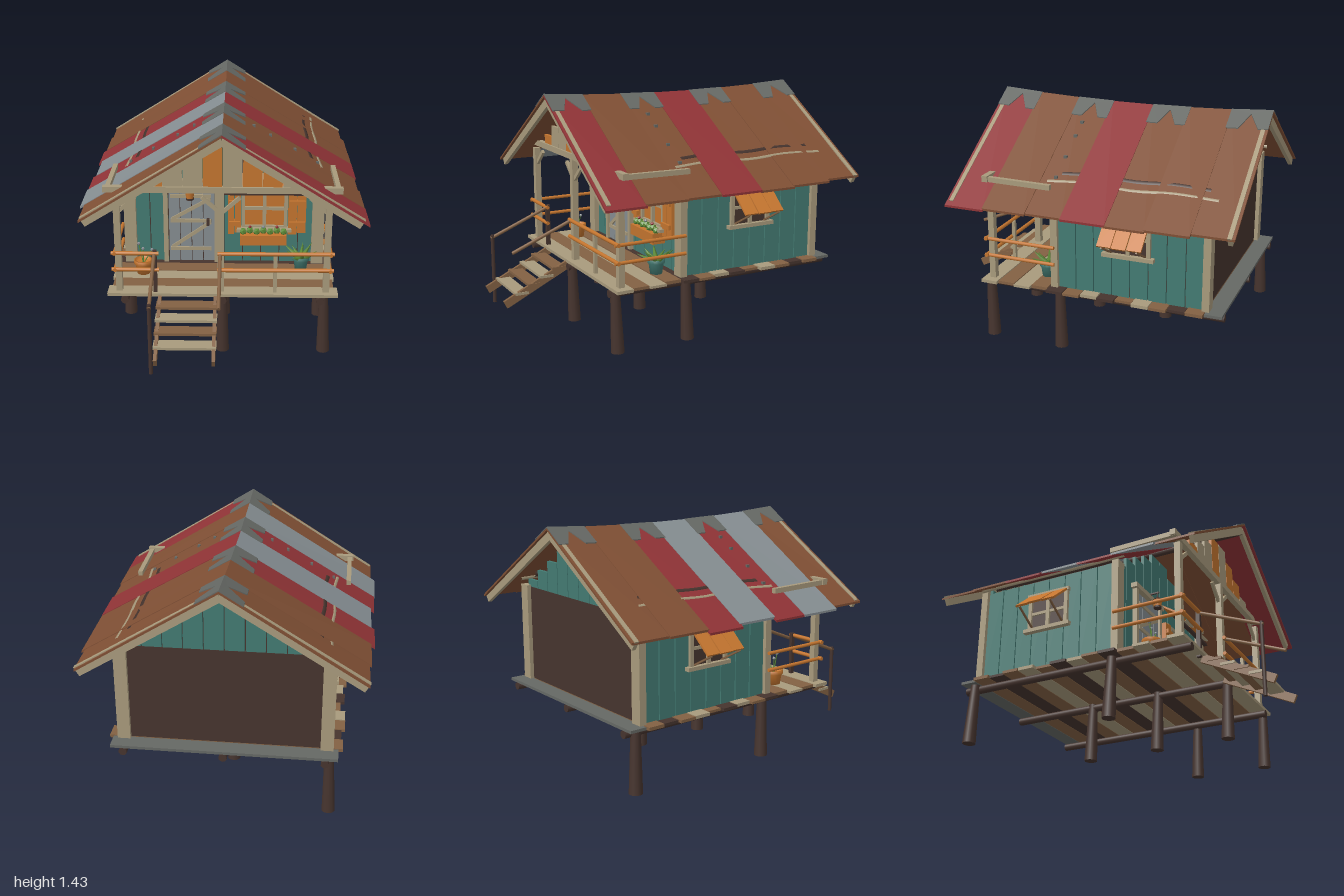
import * as THREE from 'three';

const mat = (name, color) => {
  const m = new THREE.MeshStandardMaterial({ color });
  m.name = name;
  return m;
};

export function createModel() {
  const teal = mat('teal paint', 0x437a72), orange = mat('orange wood', 0xc4752f), beige = mat('pale wood', 0xa89a7c),
    dark = mat('dark timber', 0x46342e), brown = mat('plank brown', 0x836143), rust = mat('rusty sheet', 0x7f4f34),
    red = mat('red sheet', 0x8f3336), grey = mat('grey sheet', 0x858d91), cap = mat('dull metal', 0x656864),
    green = mat('leaf green', 0x5c8a38);
  const root = new THREE.Group();
  root.name = 'stiltCabin';
  const V = (p) => new THREE.Vector3(...p);

  const add = (name, geo, m, pos = [0, 0, 0]) => {
    const mesh = new THREE.Mesh(geo, m);
    mesh.name = name;
    mesh.position.set(...pos);
    root.add(mesh);
    return mesh;
  };
  // Box given by its extents
  const box = (name, m, x0, x1, y0, y1, z0, z1) =>
    add(name, new THREE.BoxGeometry(Math.abs(x1 - x0), y1 - y0, Math.abs(z1 - z0)), m, [(x0 + x1) / 2, (y0 + y1) / 2, (z0 + z1) / 2]);
  // Squared timber between two points: w sideways, h upright
  const bar = (name, m, a, b, w, h = w) => {
    const mid = V(a).add(V(b)).multiplyScalar(0.5);
    const mesh = add(name, new THREE.BoxGeometry(w, h, V(a).distanceTo(V(b))), m, mid.toArray());
    mesh.lookAt(V(b));
    return mesh;
  };
  // Round timber between two points
  const pole = (name, m, a, b, ra, rb = ra) => {
    const d = V(b).sub(V(a)), mid = V(a).add(V(b)).multiplyScalar(0.5);
    const mesh = add(name, new THREE.CylinderGeometry(rb, ra, d.length(), 10), m, mid.toArray());
    mesh.quaternion.setFromUnitVectors(new THREE.Vector3(0, 1, 0), d.normalize());
    return mesh;
  };

  // Sagging roof surface
  const roofY = (x, z) => {
    const ridge = 1.375 + 0.03 * ((z + 0.14) / 0.86) ** 2;
    return ridge + (0.885 - ridge) * Math.abs(x) / 0.83;
  };
  const sheet = (name, m, pts, lift, thick) => {
    const shape = new THREE.Shape(pts.map(([x, z]) => new THREE.Vector2(x, -z)));
    const g = new THREE.ExtrudeGeometry(shape, { depth: thick, bevelEnabled: false });
    g.rotateX(-Math.PI / 2);
    const p = g.attributes.position;
    for (let i = 0; i < p.count; i++) p.setY(i, p.getY(i) + lift + roofY(p.getX(i), p.getZ(i)));
    g.computeVertexNormals();
    return add(name, g, m);
  };
  const zs = [-0.995, -0.755, -0.5, -0.27, -0.01, 0.215, 0.475, 0.715];
  const sheets = {
    '-1': [[rust, 0.8], [rust, 0.81], [red, 0.83], [grey, 0.81], [red, 0.83], [grey, 0.835], [rust, 0.81]],
    '1': [[rust, 0.8], [rust, 0.82], [rust, 0.825], [red, 0.825], [rust, 0.815], [rust, 0.825], [red, 0.83]],
  };
  for (const s of [-1, 1]) {
    sheets[s].forEach(([m, len], i) => {
      const a = zs[i] - 0.004, b = zs[i + 1] + 0.004;
      sheet('roofSheet', m, [[0, a], [s * len, a], [s * len, b], [0, b]], (i % 2) * 0.004, 0.013);
      // Notched ridge caps
      if (i % 2 === 0) {
        const c = (a + b) / 2, e = s * 0.13;
        sheet('ridgeCap', cap, [[0, a], [e, a], [e, a + 0.06], [s * 0.03, c], [e, c + 0.05], [e, b], [0, b]], 0.014, 0.006);
      }
    });
    for (const x of [0.18, 0.28, 0.43, 0.57])
      box('roofScrew', cap, s * x - 0.008, s * x + 0.008, roofY(x, 0.12) + 0.01, roofY(x, 0.12) + 0.026, 0.115, 0.135);
    // Gable rafters and side plates
    for (const z of [0.69, -0.97])
      bar('gableRafter', beige, [0, roofY(0, z) - 0.02, z], [s * 0.79, roofY(0.79, z) - 0.015, z], 0.025, 0.06);
    bar('porchPlate', beige, [s * 0.665, 1.025, 0.12], [s * 0.665, 1.03, 0.54], 0.028, 0.03);
    const path = (x, y, z0, z1, k) => new THREE.CatmullRomCurve3([0, 0.25, 0.5, 0.75, 1].map((t, i) =>
      new THREE.Vector3(s * (x + k * [1, -1, 0.6, -0.6, 0.5][i]), y + k * [-0.5, 0.4, -0.4, 0.6, 0][i], z0 + (z1 - z0) * t)));
    add('wallPole', new THREE.TubeGeometry(path(0.58, 1.035, 0.17, -0.85, 0.01), 16, 0.015, 6), beige);
    add('roofPole', new THREE.TubeGeometry(path(0.52, 1.064, 0.1, -0.79, 0.008), 16, 0.021, 6), dark);
  }
  pole('ridgePole', dark, [0, 1.362, -0.97], [0, 1.365, 0.7], 0.02);

  // Stilts and floor beams
  for (const [x, z] of [[0.61, 0.55], [0.61, 0.09], [0, 0.55], [0, 0.09], [0, -0.37], [-0.61, 0.09], [-0.61, -0.85]])
    pole('stilt', dark, [x, 0, z], [x * 0.985, 0.37, z + 0.01], 0.04, 0.028);
  for (const x of [-0.58, 0, 0.58]) pole('floorBeam', dark, [x, 0.347, -0.91], [x, 0.347, 0.59], 0.024);

  // Deck planks
  const deckMats = [beige, brown, beige, brown, dark, brown, beige, dark, brown, beige, brown, dark, brown, cap];
  deckMats.forEach((m, i) => {
    const z = 0.585 - i * 0.107, e = 0.665 + [0.02, 0, 0.012, -0.012, 0.018][i % 5];
    box('deckPlank', m, -e, e, 0.37, 0.389 - (i % 3) * 0.002, z - 0.103, z);
  });

  // Front and back walls with stepped boards
  const n = 10, bw = 1.16 / n;
  for (const [z, name] of [[0.105, 'frontWall'], [-0.79, 'backWall']]) {
    box(name + 'Backing', dark, -0.57, 0.57, 0.385, 0.98, z - 0.012, z - 0.004);
    for (let i = 0; i < n; i++) {
      const x0 = -0.58 + i * bw, outer = Math.max(Math.abs(x0), Math.abs(x0 + bw));
      box(name + 'Board', teal, x0 + 0.003, x0 + bw - 0.003, 0.385, roofY(outer, z) - 0.012, z - 0.01, z + 0.01);
    }
  }
  // Side walls, corner posts and side windows
  for (const s of [-1, 1]) {
    box('sideWallBacking', dark, s * 0.58, s * 0.588, 0.385, 0.97, -0.79, 0.1);
    for (let i = 0; i < 8; i++) {
      const z = -0.79 + i * 0.112;
      box('sideWallBoard', teal, s * 0.582, s * 0.602, 0.385, 0.985, z + 0.003, z + 0.109);
    }
    for (const z of [0.125, -0.805]) box('cornerPost', beige, s * 0.55, s * 0.625, 0.385, 0.99, z - 0.022, z + 0.022);
    box('windowGlass', dark, s * 0.6, s * 0.607, 0.65, 0.88, -0.46, -0.21);
    box('windowSill', beige, s * 0.6, s * 0.635, 0.635, 0.658, -0.495, -0.18);
    box('windowHead', beige, s * 0.6, s * 0.625, 0.87, 0.892, -0.48, -0.19);
    for (const z of [-0.46, -0.335, -0.21]) box('windowUpright', beige, s * 0.6, s * 0.622, 0.65, 0.88, z - 0.012, z + 0.012);
    box('windowCrossbar', beige, s * 0.6, s * 0.617, 0.75, 0.768, -0.46, -0.21);
    for (let i = 0; i < 3; i++) {
      const z = -0.425 + i * 0.09;
      bar('sideAwning', orange, [s * 0.622, 0.875, z], [s * (0.765 + 0.006 * (i % 2)), 0.75, z], 0.085, 0.012);
    }
    for (const z of [-0.44, -0.23]) bar('awningStrut', brown, [s * 0.765, 0.745, z], [s * 0.61, 0.66, z], 0.01);
  }

  // Porch frame
  for (const x of [-0.615, -0.01, 0.615]) {
    box('porchPost', beige, x - 0.019, x + 0.019, 0.385, x < -0.1 || x > 0.1 ? 0.995 : 1.02, 0.512, 0.55);
    for (const s of [-1, 1]) if (x * s < 0.1)
      bar('porchBrace', beige, [x + s * 0.005, 0.89, 0.53], [x + s * 0.11, 0.985, 0.53], 0.018, 0.022);
  }
  bar('porchBeam', beige, [-0.69, 1.034, 0.53], [0.69, 1.034, 0.53], 0.036, 0.036);
  // Patchwork gable boards
  [orange, beige, beige, orange, beige, orange, orange, beige].forEach((m, i) => {
    const x0 = -0.46 + i * 0.115, outer = Math.max(Math.abs(x0), Math.abs(x0 + 0.115));
    box('gableBoard', m, x0 + 0.002, x0 + 0.113, 1.045, roofY(outer, 0.53) - 0.005, 0.515, 0.535);
  });

  // Railings
  for (const y of [0.64, 0.535]) {
    pole('frontRail', orange, [-0.655, y, 0.56], [-0.375, y, 0.56], 0.012);
    pole('frontRail', orange, [-0.03, y, 0.56], [0.655, y + 0.003, 0.56], 0.012);
    for (const s of [-1, 1]) pole('sideRail', orange, [s * 0.635, y, 0.575], [s * 0.635, y, 0.12], 0.011);
  }
  box('railPost', beige, 0.3, 0.322, 0.385, 0.64, 0.535, 0.555);
  box('railPost', dark, -0.41, -0.388, 0.36, 0.655, 0.54, 0.565);

  // Stairs
  for (const x of [-0.373, -0.043]) bar('stairStringer', brown, [x, 0.36, 0.56], [x, 0.155, 0.985], 0.02, 0.05);
  [[0.635, 0.34, brown], [0.715, 0.298, beige], [0.795, 0.257, brown], [0.88, 0.213, beige]].forEach(([z, y, m]) =>
    box('stairTread', m, -0.39, -0.028, y - 0.008, y + 0.008, z - 0.043, z + 0.043));
  pole('stairPost', dark, [-0.402, 0.055, 0.93], [-0.402, 0.5, 0.93], 0.012);
  for (const x of [-0.402, -0.014]) pole('stairHandrail', brown, [x, 0.48, 0.94], [x, 0.64, 0.55], 0.011);

  // Door
  const zf = 0.115;
  box('doorBacking', dark, -0.35, -0.05, 0.39, 0.915, zf, zf + 0.006);
  for (let i = 0; i < 4; i++) box('doorPlank', grey, -0.345 + i * 0.072, -0.277 + i * 0.072, 0.395, 0.905, zf, zf + 0.016);
  for (const x of [-0.365, -0.045]) box('doorJamb', beige, x - 0.014, x + 0.014, 0.39, 0.92, zf, zf + 0.03);
  box('doorHeader', beige, -0.4, -0.02, 0.915, 0.945, zf, zf + 0.04);
  for (const y of [0.835, 0.67, 0.48]) box('doorBatten', beige, -0.335, -0.08, y - 0.011, y + 0.011, zf, zf + 0.026);
  for (const [a, b] of [[0.82, 0.68], [0.66, 0.49]])
    bar('doorDiagonal', beige, [-0.085, a, zf + 0.018], [-0.325, b, zf + 0.018], 0.014, 0.022);
  box('doorHandle', dark, -0.108, -0.092, 0.645, 0.685, zf, zf + 0.045);

  // Hanging lantern
  pole('lanternHook', dark, [-0.208, 0.9, 0.2], [-0.208, 0.95, 0.2], 0.004);
  bar('lanternArm', dark, [-0.208, 0.948, 0.12], [-0.208, 0.948, 0.21], 0.01);
  pole('lanternBase', dark, [-0.208, 0.838, 0.2], [-0.208, 0.85, 0.2], 0.025);
  pole('lanternBody', orange, [-0.208, 0.85, 0.2], [-0.208, 0.893, 0.2], 0.024, 0.028);
  pole('lanternCap', dark, [-0.208, 0.893, 0.2], [-0.208, 0.915, 0.2], 0.032, 0.01);

  // Front window, shutters, awning and flower box
  box('frontPane', orange, 0.12, 0.385, 0.63, 0.87, zf, zf + 0.006);
  for (const x of [0.12, 0.252, 0.385]) box('frontWindowUpright', beige, x - 0.011, x + 0.011, 0.62, 0.87, zf, zf + 0.024);
  for (const y of [0.63, 0.755, 0.865]) box('frontWindowBar', beige, 0.11, 0.395, y - 0.01, y + 0.01, zf, zf + 0.022);
  box('frontSill', beige, 0.08, 0.42, 0.61, 0.63, zf, zf + 0.06);
  for (const [x0, x1] of [[0.025, 0.105], [0.4, 0.51]]) {
    const m = (x0 + x1) / 2;
    box('shutterBoard', orange, x0, m - 0.002, 0.585, 0.86, zf, zf + 0.03);
    box('shutterBoard', orange, m + 0.002, x1, 0.595, 0.87, zf, zf + 0.03);
    for (const y of [0.66, 0.8]) box('shutterBatten', orange, x0 + 0.005, x1 - 0.005, y - 0.014, y + 0.014, zf, zf + 0.045);
  }
  [orange, beige, orange, beige].forEach((m, i) =>
    bar('frontAwning', m, [0.08 + i * 0.119, 0.98, 0.12], [0.08 + i * 0.119, 0.905, 0.235], 0.115, 0.012));
  box('awningBatten', dark, 0, 0.51, 0.878, 0.892, 0.2, 0.225);
  box('flowerBox', orange, 0.1, 0.39, 0.535, 0.6, zf + 0.005, zf + 0.09);
  for (let i = 0; i < 7; i++) {
    const x = 0.12 + i * 0.042;
    add('boxLeaves', new THREE.IcosahedronGeometry(0.024, 0), green, [x, 0.615 + 0.008 * (i % 2), zf + 0.055]);
    if (i % 2) add('boxFlower', new THREE.IcosahedronGeometry(0.011, 0), i % 4 === 1 ? red : grey, [x, 0.648, zf + 0.06]);
  }

  // Potted plants on the porch
  const pot = (m, x, z, k) => add('plantPot', new THREE.LatheGeometry([[0, 0], [0.04, 0], [0.05, 0.065], [0.058, 0.065],
    [0.058, 0.088], [0.048, 0.088], [0.046, 0.07], [0, 0.07]].map(([r, y]) => new THREE.Vector2(r * k, y)), 14), m, [x, 0.389, z]);
  pot(orange, -0.495, 0.3, 1);
  for (const [x, y] of [[-0.52, 0.585], [-0.495, 0.55], [-0.44, 0.545]]) {
    pole('flowerStem', green, [-0.495, 0.45, 0.3], [x, y, 0.3], 0.003);
    add('potFlower', new THREE.IcosahedronGeometry(0.011, 0), grey, [x, y, 0.3]);
  }
  pot(teal, 0.48, 0.23, 0.9);
  for (let i = 0; i < 9; i++) {
    const a = i * 0.698, r = 0.1 + 0.02 * (i % 2), h = 0.055 + 0.02 * (i % 3);
    const leaf = add('plantLeaf', new THREE.ConeGeometry(0.02, 0.12, 5), green, [0.48 + Math.cos(a) * r * 0.5, 0.455 + h * 0.5, 0.23 + Math.sin(a) * r * 0.5]);
    leaf.quaternion.setFromUnitVectors(new THREE.Vector3(0, 1, 0), new THREE.Vector3(Math.cos(a) * r, h, Math.sin(a) * r).normalize());
  }
  return root;
}
